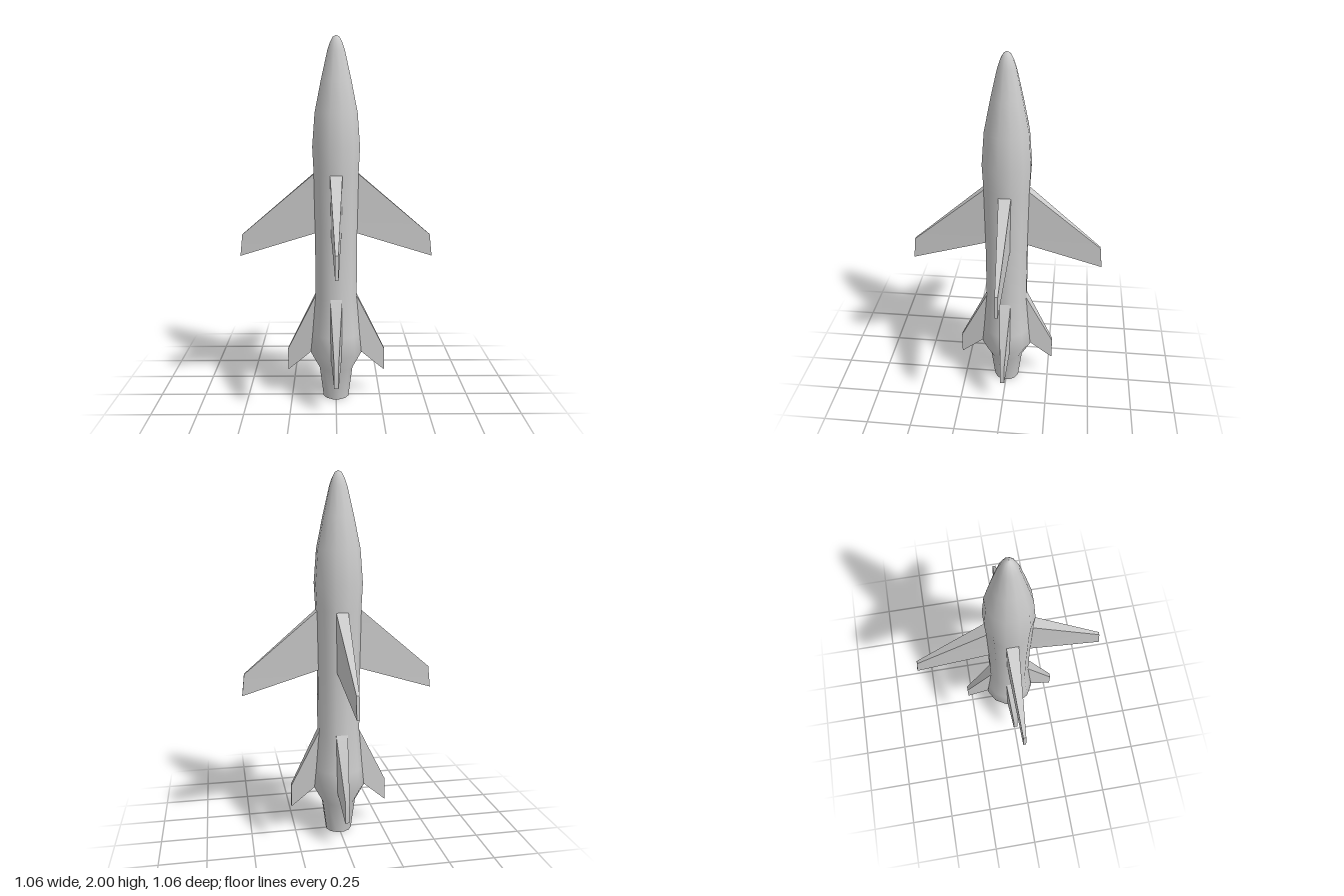
import * as THREE from 'three';
import { toCreasedNormals } from 'three/addons/utils/BufferGeometryUtils.js';

const SIDES = 12;

// Twelve-sided turned part with a flat facing each axis; profile is [radius, y].
function turned(name, profile, material) {
  const points = profile.map(([r, y]) => new THREE.Vector2(r, y));
  const mesh = new THREE.Mesh(new THREE.LatheGeometry(points, SIDES, Math.PI / SIDES), material);
  mesh.name = name;
  return mesh;
}

// Tapered slab pointing along +x; each corner is [x, y, half thickness],
// listed root bottom, tip bottom, tip top, root top.
function finGeometry(corners) {
  const vertices = [];
  for (const side of [1, -1]) {
    for (const [x, y, t] of corners) vertices.push(x, y, side * t);
  }
  const index = [0, 1, 2, 0, 2, 3, 4, 6, 5, 4, 7, 6];
  for (let i = 0; i < 4; i++) {
    const j = (i + 1) % 4;
    index.push(i, i + 4, j + 4, i, j + 4, j);
  }
  const geometry = new THREE.BufferGeometry();
  geometry.setAttribute('position', new THREE.Float32BufferAttribute(vertices, 3));
  geometry.setIndex(index);
  return toCreasedNormals(geometry, 0.5);
}

export function createModel() {
  const model = new THREE.Group();
  model.name = 'missile';
  const grey = new THREE.MeshStandardMaterial({ color: 0xcccccc });
  grey.name = 'light grey';

  // Nose, fuselage, flared tail and nozzle
  model.add(turned('body', [
    [0.073, 0], [0.096, 0.175], [0.147, 0.27], [0.136, 0.38], [0.118, 0.6],
    [0.119, 0.96], [0.125, 1.28], [0.132, 1.42], [0.118, 1.6], [0.083, 1.77],
    [0.048, 1.92], [0.034, 1.96], [0.018, 1.99], [0, 2],
  ], grey));

  // Hollow exhaust
  model.add(turned('nozzleRim', [[0.045, 0], [0.073, 0]], grey));
  model.add(turned('nozzleBore', [[0.038, 0.08], [0.045, 0]], grey));
  model.add(turned('nozzleEnd', [[0, 0.08], [0.038, 0.08]], grey));

  // Four swept wings and four tail fins
  const wing = finGeometry([
    [0.1, 0.955, 0.028], [0.528, 0.82, 0.008], [0.515, 0.94, 0.008], [0.115, 1.28, 0.033],
  ]);
  const tail = finGeometry([
    [0.09, 0.315, 0.036], [0.272, 0.155, 0.012], [0.272, 0.28, 0.012], [0.108, 0.61, 0.033],
  ]);
  for (let i = 0; i < 4; i++) {
    for (const [name, geometry] of [['wing', wing], ['tailFin', tail]]) {
      const mesh = new THREE.Mesh(geometry, grey);
      mesh.name = name + (i + 1);
      mesh.rotation.y = i * Math.PI / 2;
      model.add(mesh);
    }
  }
  return model;
}
